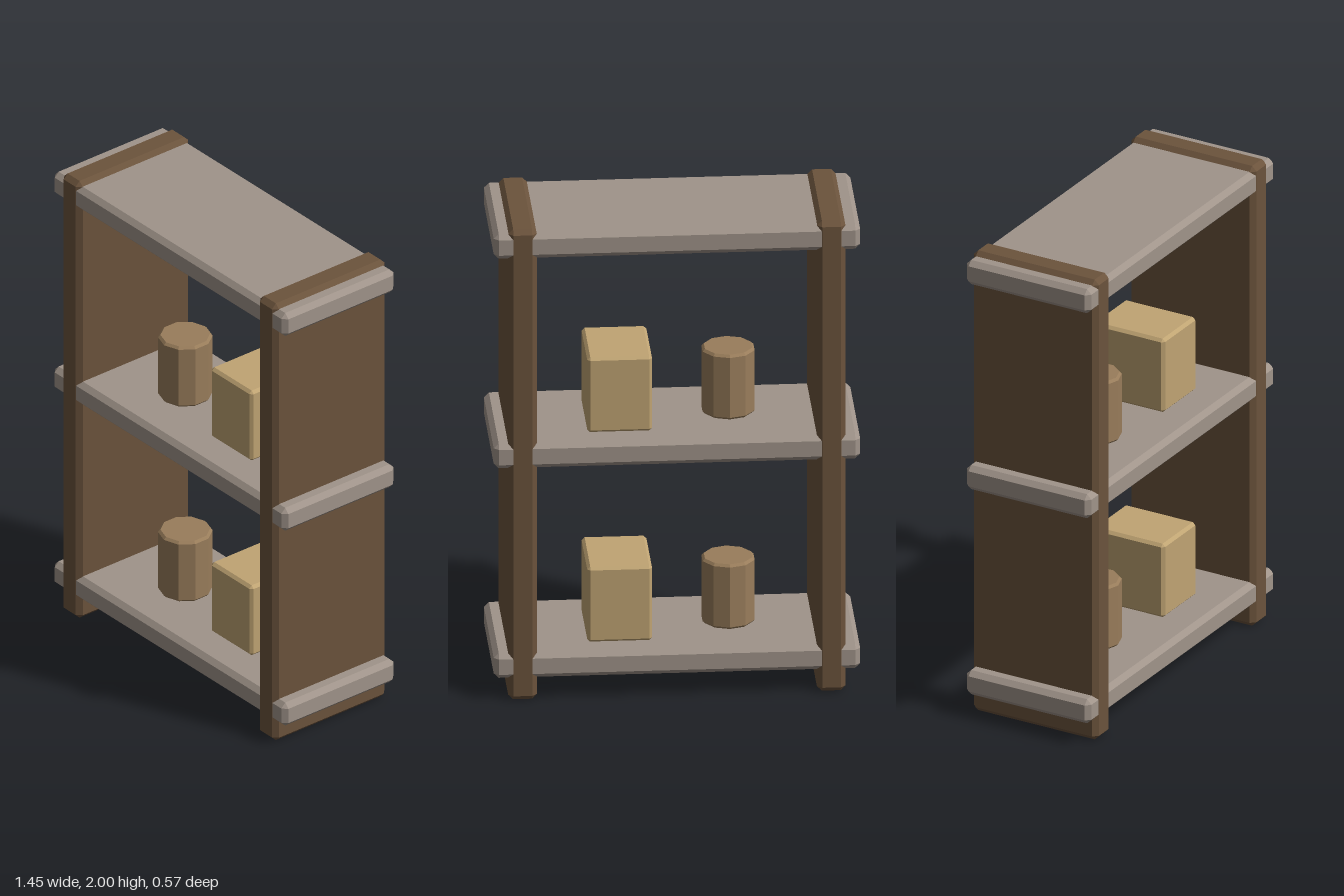
import * as THREE from 'three';
import { ConvexGeometry } from 'three/addons/geometries/ConvexGeometry.js';

const paint = (color) => new THREE.MeshStandardMaterial({ color, flatShading: true });
const darkWood = paint(0x6b533c);
const greyWood = paint(0xa0948a);
const paleWood = paint(0xc0a473);
const midWood = paint(0x997d5b);

// Box with every edge and corner chamfered by c
function chamferBox(w, h, d, c) {
  const points = [];
  for (const sx of [-1, 1]) for (const sy of [-1, 1]) for (const sz of [-1, 1]) {
    const x = sx * w / 2, y = sy * h / 2, z = sz * d / 2;
    points.push(
      new THREE.Vector3(x, y - sy * c, z - sz * c),
      new THREE.Vector3(x - sx * c, y, z - sz * c),
      new THREE.Vector3(x - sx * c, y - sy * c, z));
  }
  return new ConvexGeometry(points);
}

export function createModel() {
  const group = new THREE.Group();
  const add = (name, geometry, material, x, y, z) => {
    const mesh = new THREE.Mesh(geometry, material);
    mesh.name = name;
    mesh.position.set(x, y, z);
    group.add(mesh);
  };

  // Upright side panels
  const panel = chamferBox(0.114, 2, 0.572, 0.02);
  add('leftPanel', panel, darkWood, 0.609, 1, 0);
  add('rightPanel', panel, darkWood, -0.609, 1, 0);

  // Three shelves passing through the panels
  const shelf = chamferBox(1.446, 0.105, 0.57, 0.02);
  const heights = [0.145, 1.037, 1.929];
  heights.forEach((y, i) => add(['bottomShelf', 'middleShelf', 'topShelf'][i], shelf, greyWood, 0, y, 0));

  // A crate and a ten-sided jar on each of the lower two shelves
  const crate = chamferBox(0.256, 0.32, 0.328, 0.012);
  const r = 0.108, h = 0.275, c = 0.01;
  const jar = new THREE.LatheGeometry([
    [0, 0], [r - c, 0], [r, c], [r, h - c], [r - c, h], [0, h],
  ].map(([x, y]) => new THREE.Vector2(x, y)), 10);
  for (const y of heights.slice(0, 2)) {
    const top = y + 0.0525;
    add('crate', crate, paleWood, 0.219, top + 0.158, -0.018);
    add('jar', jar, midWood, -0.222, top, 0.015);
  }
  return group;
}
